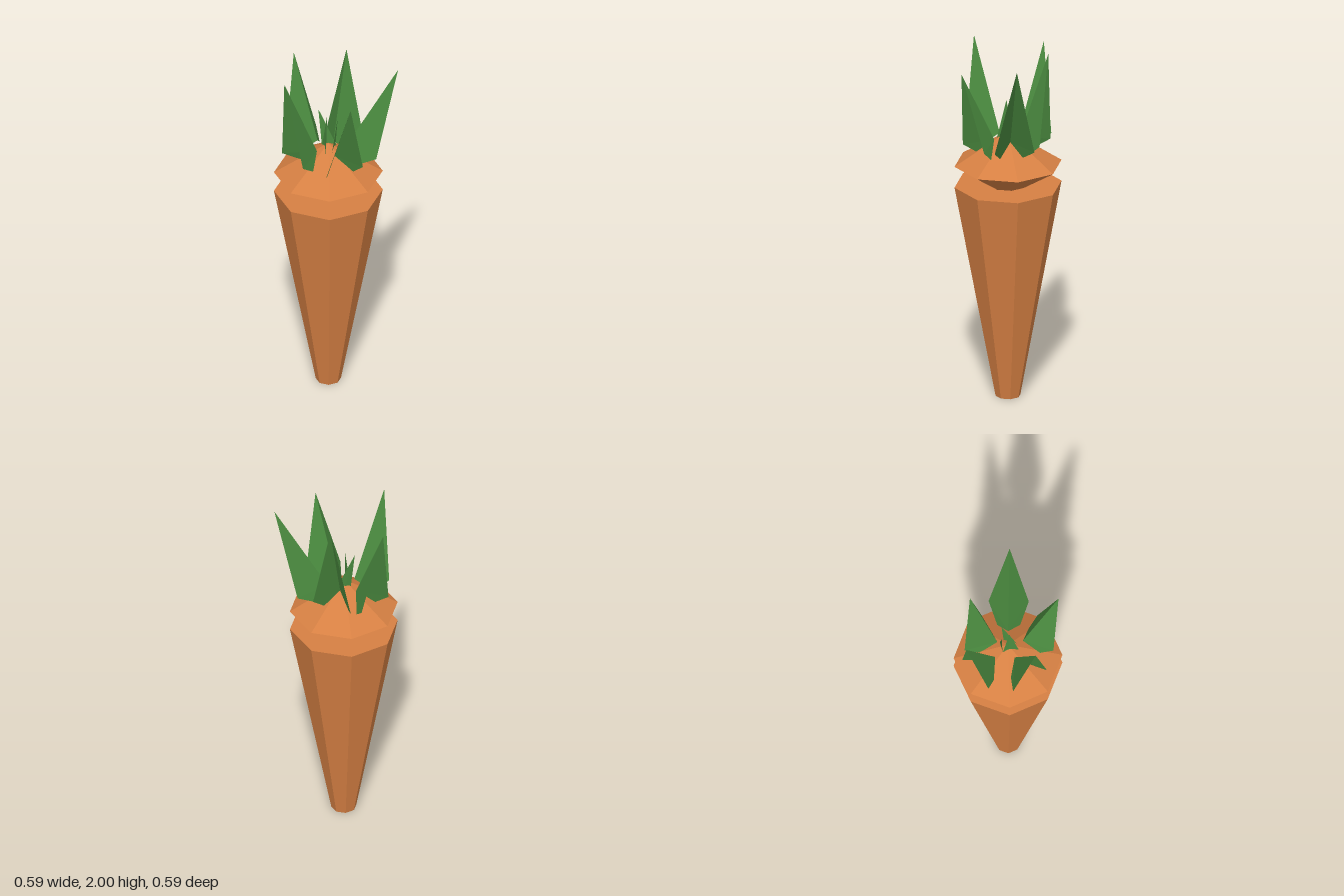
import * as THREE from 'three';

const orange = new THREE.MeshStandardMaterial({ color: 0xd68043, flatShading: true });
const green = new THREE.MeshStandardMaterial({ color: 0x4a8a3f, flatShading: true, side: THREE.DoubleSide });

function add(group, name, geometry, material) {
  const mesh = new THREE.Mesh(geometry, material);
  mesh.name = name;
  group.add(mesh);
  return mesh;
}

// Fan of triangles around the first point of a rim
function fan(points) {
  const geometry = new THREE.BufferGeometry().setFromPoints(points.map((p) => new THREE.Vector3(...p)));
  const index = [];
  for (let i = 1; i < points.length - 1; i++) index.push(0, i, i + 1);
  geometry.setIndex(index);
  const flat = geometry.toNonIndexed();
  flat.computeVertexNormals();
  return flat;
}

// Big leaves, folded along the ridge from inner base to tip:
// inner base, lower side, outer side, tip, outer side, lower side
const leaves = {
  leftLeaf: [[0.08, 1.49, 0.035], [0.175, 1.41, -0.01], [0.245, 1.47, -0.012],
    [0.275, 1.91, 0.115], [0.16, 1.455, 0.185], [0.113, 1.41, 0.13]],
  frontLeaf: [[-0.02, 1.49, 0.068], [-0.1, 1.425, 0.115], [-0.163, 1.47, 0.19],
    [-0.07, 1.995, 0.27], [0.045, 1.49, 0.245], [0.03, 1.42, 0.15]],
  rightLeaf: [[-0.09, 1.49, -0.01], [-0.155, 1.41, -0.095], [-0.218, 1.47, -0.133],
    [-0.29, 1.955, -0.035], [-0.24, 1.46, 0.08], [-0.17, 1.41, 0.055]],
  backLeaf: [[-0.02, 1.49, -0.06], [-0.11, 1.42, -0.105], [-0.168, 1.46, -0.163],
    [-0.07, 1.99, -0.215], [0.035, 1.49, -0.23], [0.022, 1.42, -0.147]],
  backLeftLeaf: [[0.065, 1.49, -0.06], [0.07, 1.42, -0.145], [0.12, 1.49, -0.255],
    [0.28, 2, -0.25], [0.265, 1.49, -0.095], [0.155, 1.42, -0.055]],
};

// Small inner sprouts: tip, then the three points of a bent base
const sprouts = [
  [[-0.07, 1.71, 0.005], [-0.04, 1.46, 0.005], [-0.015, 1.45, -0.025], [0.012, 1.48, -0.055]],
  [[0.013, 1.66, -0.06], [0.012, 1.46, -0.04], [0.025, 1.45, -0.01], [0.048, 1.48, 0.023]],
  [[0.0, 1.7, 0.01], [-0.045, 1.48, 0.002], [-0.01, 1.45, 0.022], [0.033, 1.46, 0.055]],
];

export function createModel() {
  const model = new THREE.Group();
  model.name = 'carrot';

  // Tapered root
  add(model, 'root', new THREE.CylinderGeometry(0.293, 0.068, 1.215, 8), orange).position.y = 1.215 / 2;

  // Double-cone crown sunk into the root
  const profile = [[0, 1.15], [0.293, 1.335], [0, 1.52]].map(([r, y]) => new THREE.Vector2(r, y));
  add(model, 'crown', new THREE.LatheGeometry(profile, 8), orange);

  // Foliage
  const foliage = new THREE.Group();
  foliage.name = 'foliage';
  model.add(foliage);
  for (const [name, points] of Object.entries(leaves)) add(foliage, name, fan(points), green);
  sprouts.forEach((points, i) => add(foliage, `sprout${i + 1}`, fan(points), green));
  return model;
}
